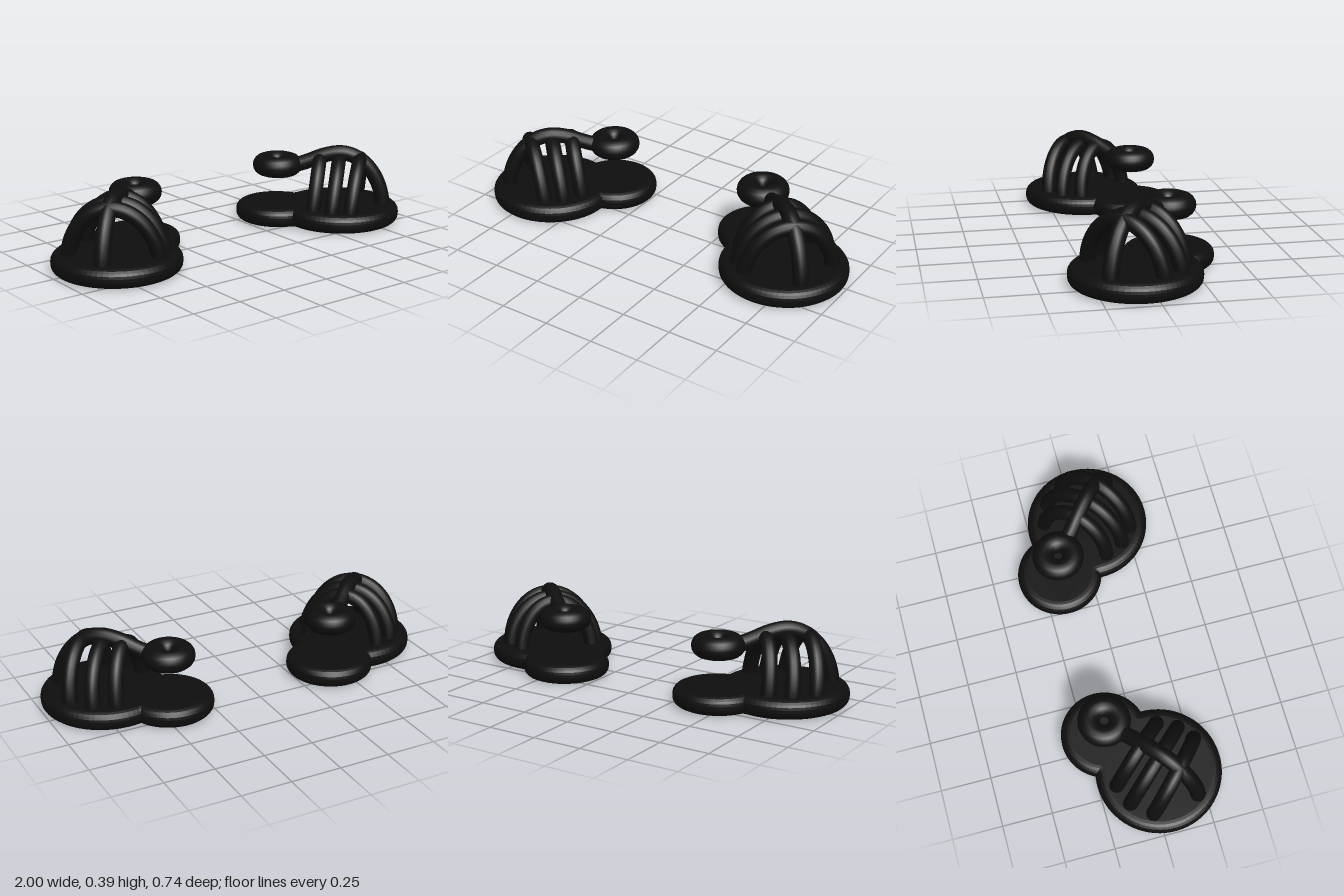
import * as THREE from 'three';

const material = new THREE.MeshStandardMaterial({ color: 0x0e0e0e });
const HEEL = -0.323; // heel centre along the sandal's own axis (+x is the toe)

function addMesh(parent, name, geometry) {
  const mesh = new THREE.Mesh(geometry, material);
  mesh.name = name;
  parent.add(mesh);
  return mesh;
}

// Two overlapping rounds joined by a soft waist, with a rounded rim
function soleGeometry() {
  const s = new THREE.Shape();
  const a = 2.42, b = 1.13, rBall = 0.265, rHeel = 0.17;
  s.absarc(0, 0, rBall, -a, a, false);
  s.quadraticCurveTo(-0.226, 0.14, HEEL + rHeel * Math.cos(b), rHeel * Math.sin(b));
  s.absarc(HEEL, 0, rHeel, b, 2 * Math.PI - b, false);
  s.quadraticCurveTo(-0.226, -0.14, rBall * Math.cos(a), -rBall * Math.sin(a));
  const g = new THREE.ExtrudeGeometry(s, {
    depth: 0.015, bevelThickness: 0.04, bevelSize: 0.045, bevelSegments: 5, curveSegments: 28,
  });
  return g.rotateX(-Math.PI / 2).translate(0, 0.04, 0);
}

function tube(points, radius) {
  return new THREE.TubeGeometry(new THREE.CatmullRomCurve3(points), 40, radius, 14);
}

// Half-ellipse arch from an inner foot to an outer foot on the sole
function crossStrap(sInner, sOuter, outer) {
  const rim = 0.228, points = [];
  const tIn = Math.sqrt(rim * rim - sInner * sInner);
  const tOut = Math.sqrt(rim * rim - sOuter * sOuter);
  for (let i = 0; i <= 12; i++) {
    const a = (i / 12) * Math.PI, k = (1 - Math.cos(a)) / 2;
    const lean = 0.03 * Math.sin(a);
    points.push(new THREE.Vector3(
      THREE.MathUtils.lerp(sInner, sOuter, k) + lean,
      0.05 + 0.275 * Math.sin(a),
      outer * THREE.MathUtils.lerp(-tIn, tOut, k)));
  }
  return tube(points, 0.037);
}

// Strap from the toe over the top and back into the ring above the heel
function longStrap() {
  const points = [];
  for (let i = 0; i <= 6; i++) {
    const a = (i / 6) * Math.PI / 2;
    points.push(new THREE.Vector3(0.23 * Math.cos(a), 0.05 + 0.307 * Math.sin(a), 0));
  }
  for (const [x, y] of [[-0.08, 0.343], [-0.16, 0.312], [-0.21, 0.295], [-0.255, 0.29]]) {
    points.push(new THREE.Vector3(x, y, 0));
  }
  return tube(points, 0.039);
}

function sandal(side) {
  const group = new THREE.Group();
  group.name = side > 0 ? 'leftSandal' : 'rightSandal';
  const outer = -side; // local z direction of the outer side
  addMesh(group, 'sole', soleGeometry());
  [['rear', -0.14, -0.125], ['middle', -0.045, -0.02], ['front', 0.05, 0.1]].forEach(
    ([name, sIn, sOut]) => addMesh(group, name + 'CrossStrap', crossStrap(sIn, sOut, outer)));
  addMesh(group, 'longStrap', longStrap());
  const ring = addMesh(group, 'heelRing', new THREE.TorusGeometry(0.075, 0.054, 18, 36));
  ring.rotation.x = Math.PI / 2;
  ring.position.set(HEEL, 0.29, 0);
  // Toes point outward
  group.rotation.y = -Math.atan2(0.65, side * 0.76);
  group.position.set(side * 0.69, 0, 0.055);
  return group;
}

export function createModel() {
  const model = new THREE.Group();
  model.name = 'sandals';
  for (const side of [1, -1]) model.add(sandal(side));
  return model;
}
